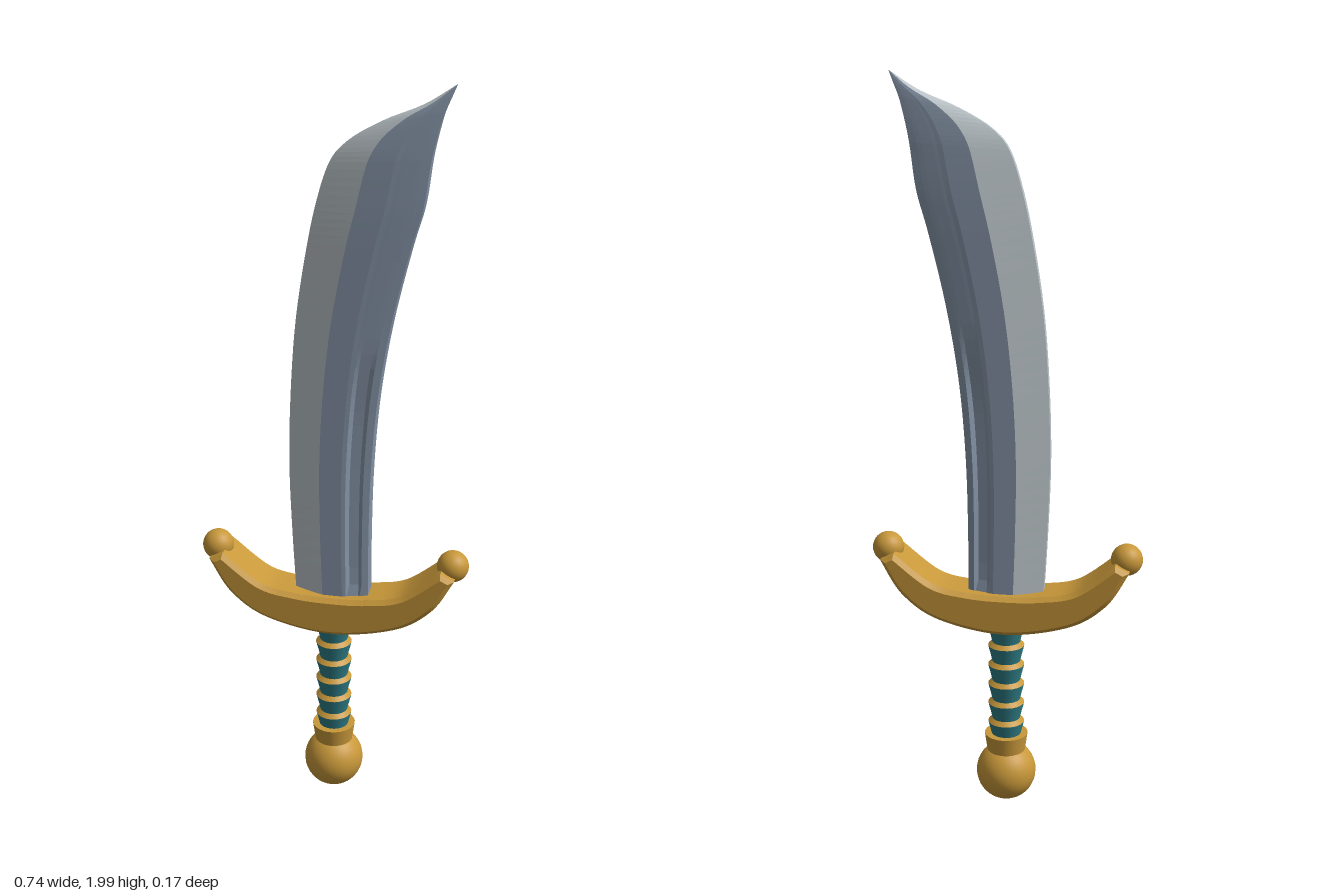
import * as THREE from 'three';

const V = (x, y, z = 0) => new THREE.Vector3(x, y, z);

const gold = new THREE.MeshStandardMaterial({ name: 'gold', color: 0xc8983a });
const teal = new THREE.MeshStandardMaterial({ name: 'teal wrap', color: 0x2f7f88 });
const steel = new THREE.MeshStandardMaterial({ name: 'steel', color: 0x8695a8, flatShading: true });
const silver = new THREE.MeshStandardMaterial({ name: 'silver edge', color: 0xbcc5c9, flatShading: true });

function add(parent, name, geometry, material, x = 0, y = 0, z = 0) {
  const mesh = new THREE.Mesh(geometry, material);
  mesh.name = name;
  mesh.position.set(x, y, z);
  parent.add(mesh);
  return mesh;
}

// Blade: cross-sections swept between the cutting edge and the spine.
function createBlade() {
  const blade = new THREE.Group();
  blade.name = 'blade';
  // cutting edge: x, y, thickness scale
  const edge = new THREE.CatmullRomCurve3([
    V(-0.1, 0.56, 1), V(-0.113, 0.8, 1), V(-0.119, 1.0, 1), V(-0.113, 1.2, 1), V(-0.097, 1.4, 1),
    V(-0.065, 1.6, 1), V(-0.043, 1.7, 0.96), V(-0.01, 1.8, 0.84), V(0.035, 1.853, 0.68),
    V(0.12, 1.903, 0.48), V(0.22, 1.945, 0.25), V(0.3, 1.995, 0),
  ]);
  const spine = new THREE.CatmullRomCurve3([
    V(0.1, 0.56), V(0.1, 0.8), V(0.105, 1.0), V(0.121, 1.2), V(0.153, 1.4), V(0.2, 1.6),
    V(0.228, 1.7), V(0.245, 1.82), V(0.258, 1.88), V(0.272, 1.93), V(0.287, 1.965), V(0.3, 1.995),
  ]);
  // across the width: fraction, half thickness, groove depth
  const section = [
    [0, 0.012, 0], [0.39, 0.038, 0], [0.66, 0.038, 0], [0.71, 0.036, 0],
    [0.75, 0.035, 0.012], [0.87, 0.031, 0.012], [0.92, 0.029, 0], [1, 0.025, 0],
  ];
  const rows = 55, n = section.length, ring = 2 * n;
  const positions = [];
  for (let r = 0; r <= rows; r++) {
    const e = edge.getPoint(r / rows), s = spine.getPoint(r / rows);
    const groove = THREE.MathUtils.smoothstep(e.y, 0.62, 0.67) * (1 - THREE.MathUtils.smoothstep(e.y, 1.1, 1.38));
    const thick = THREE.MathUtils.clamp(e.z, 0, 1);
    for (let i = 0; i < ring; i++) {
      const [u, half, depth] = section[i < n ? i : ring - 1 - i];
      const z = (half - depth * groove) * thick;
      positions.push(e.x + (s.x - e.x) * u, e.y + (s.y - e.y) * u, i < n ? z : -z);
    }
  }
  const steelFaces = [], silverFaces = [];
  for (let r = 0; r < rows; r++) {
    for (let i = 0; i < ring; i++) {
      const j = (i + 1) % ring;
      const a = r * ring + i, b = r * ring + j, c = b + ring, d = a + ring;
      (i === 0 || i >= ring - 2 ? silverFaces : steelFaces).push(a, b, c, a, c, d);
    }
  }
  const surface = (faces) => {
    const g = new THREE.BufferGeometry();
    g.setAttribute('position', new THREE.Float32BufferAttribute(positions, 3));
    g.setIndex(faces);
    g.computeVertexNormals();
    return g;
  };
  add(blade, 'bladeBody', surface(steelFaces), steel);
  add(blade, 'cuttingEdge', surface(silverFaces), silver);
  return blade;
}

// Guard: a crescent extruded through z, with a ball on each horn.
function createGuard() {
  const guard = new THREE.Group();
  guard.name = 'guard';
  const bevel = 0.012;
  const lower = [[0.322, 0.705], [0.268, 0.62], [0.172, 0.557], [0, 0.526]];
  const upper = [[0.2, 0.639], [0.1, 0.617], [0, 0.612]];
  const mirror = (pts) => pts.slice(0, -1).reverse().map(([x, y]) => [-x, y]);
  const toV2 = (pts) => pts.map(([x, y]) => new THREE.Vector2(x, y));
  const shape = new THREE.Shape();
  shape.moveTo(0.322, 0.705);
  shape.splineThru(toV2([...lower.slice(1), ...mirror(lower)]));
  shape.lineTo(-0.302, 0.715);
  shape.splineThru(toV2([...upper.slice(0, 2).map(([x, y]) => [-x, y]), ...upper.slice().reverse(), [0.302, 0.715]]));
  shape.closePath();
  const depth = 0.132 - 2 * bevel;
  const geometry = new THREE.ExtrudeGeometry(shape, {
    depth, bevelEnabled: true, bevelThickness: bevel, bevelSize: bevel, bevelSegments: 1, curveSegments: 12,
  });
  add(guard, 'crossguard', geometry, gold, 0, 0, -depth / 2);
  for (const side of [-1, 1]) {
    add(guard, side > 0 ? 'leftGuardBall' : 'rightGuardBall', new THREE.SphereGeometry(0.043, 24, 16), gold, side * 0.327, 0.73);
  }
  return guard;
}

// Grip: flared teal segments, each topped by a sloping gold ledge.
function createGrip() {
  const grip = new THREE.Group();
  grip.name = 'grip';
  const pitch = 0.057, ledge = 0.011;
  for (let i = 0; i < 6; i++) {
    const y = 0.19 + i * pitch, h = pitch - ledge;
    const wrap = new THREE.LatheGeometry([
      new THREE.Vector2(0.039, 0), new THREE.Vector2(0.043, h * 0.4),
      new THREE.Vector2(0.048, h * 0.8), new THREE.Vector2(0.05, h),
    ], 24);
    add(grip, 'gripWrap', wrap, teal, 0, y);
    add(grip, 'gripRing', new THREE.CylinderGeometry(0.039, 0.05, ledge, 24, 1, true), gold, 0, y + h + ledge / 2);
  }
  return grip;
}

export function createModel() {
  const model = new THREE.Group();
  model.name = 'curvedSword';
  model.add(createBlade(), createGuard(), createGrip());
  // Collar and pommel
  add(model, 'collar', new THREE.CylinderGeometry(0.06, 0.053, 0.05, 24), gold, 0, 0.175);
  add(model, 'pommel', new THREE.SphereGeometry(0.083, 32, 20), gold, 0, 0.085);
  return model;
}
